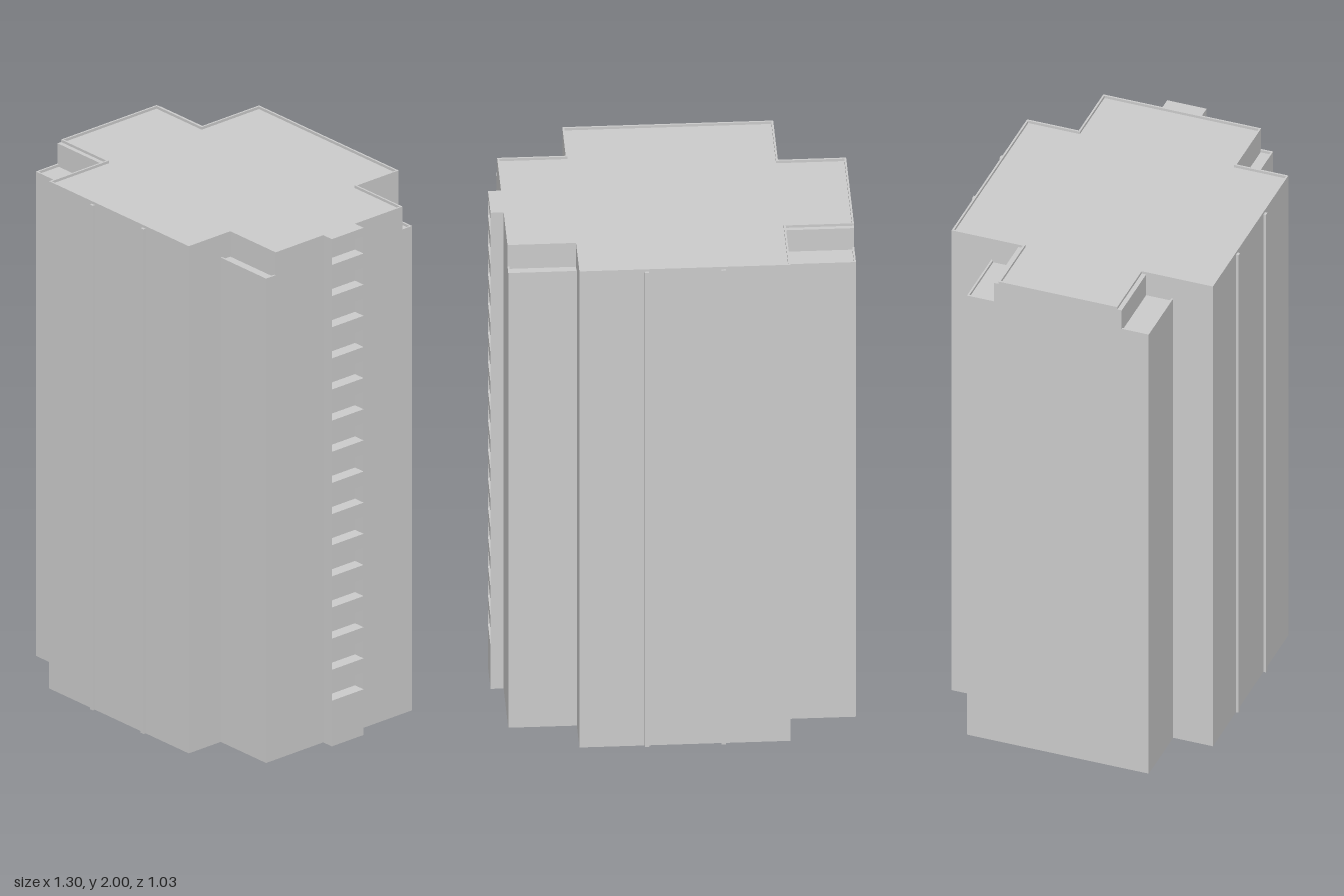
import * as THREE from 'three';

const FINS = [-0.163, 0.113];                 // x centres of the facade fins
const LEDGE = 1.91, TOP = 2, RIM = 0.01, LIP = 0.007;
const XL = -0.65, CL = -0.404, CR = 0.356, XR = 0.603; // wing and core ends
const CORE = 0.503, WING = 0.35;              // half depths

// Cross-shaped plan, counter-clockwise from above; d insets it, fins adds the facade fins
function plan(zl, zr, d = 0, fins = false) {
  const xl = XL + d, cl = CL + d, cr = CR - d, xr = XR - d, c = CORE - d;
  zl -= d;
  zr -= d;
  const fin = (x, s) => [[x - s * 0.008, c], [x - s * 0.008, c + 0.01], [x + s * 0.008, c + 0.01], [x + s * 0.008, c]];
  const front = fins ? FINS.flatMap((x) => fin(x, 1)).map(([x, y]) => [x, -y]) : [];
  const back = fins ? [...FINS].reverse().flatMap((x) => fin(x, -1)) : [];
  return [
    [xl, -zl], [cl, -zl], [cl, -c], ...front, [cr, -c], [cr, -zr], [xr, -zr],
    [xr, zr], [cr, zr], [cr, c], ...back, [cl, c], [cl, zl], [xl, zl],
  ].map(([x, y]) => new THREE.Vector2(x, y));
}

// Open vertical walls along a closed plan
function wallGeometry(points, y0, y1) {
  const pos = [];
  points.forEach((a, i) => {
    const b = points[(i + 1) % points.length];
    const a0 = [a.x, y0, -a.y], b0 = [b.x, y0, -b.y];
    const a1 = [a.x, y1, -a.y], b1 = [b.x, y1, -b.y];
    pos.push(...a0, ...b0, ...b1, ...a0, ...b1, ...a1);
  });
  const g = new THREE.BufferGeometry();
  g.setAttribute('position', new THREE.Float32BufferAttribute(pos, 3));
  g.computeVertexNormals();
  return g;
}

// Flat surface filling a plan
function slabGeometry(points, y) {
  return new THREE.ShapeGeometry(new THREE.Shape(points)).rotateX(-Math.PI / 2).translate(0, y, 0);
}

// Thin raised lip around a plan
function rimGeometry(outer, inner, y) {
  const shape = new THREE.Shape(outer);
  shape.holes.push(new THREE.Path(inner));
  return new THREE.ExtrudeGeometry(shape, { depth: RIM, bevelEnabled: false })
    .rotateX(-Math.PI / 2).translate(0, y, 0);
}

export function createModel() {
  const model = new THREE.Group();
  const material = new THREE.MeshStandardMaterial({ color: 0xcccccc, side: THREE.DoubleSide, flatShading: true });
  const add = (name, geometry, parent = model) => {
    const mesh = new THREE.Mesh(geometry, material);
    mesh.name = name;
    parent.add(mesh);
    return mesh;
  };

  // Tower shell, open underneath, with narrower wings above the ledges
  const upperL = 0.246, upperR = 0.304;
  const upper = plan(upperL, upperR, 0, true);
  add('lowerWalls', wallGeometry(plan(WING, WING, 0, true), 0, LEDGE - RIM));
  add('upperWalls', wallGeometry(upper, LEDGE - RIM, TOP - RIM));
  add('roof', slabGeometry(upper, TOP - RIM));

  // Lips around roof and ledges
  add('roofParapet', rimGeometry(plan(0.229, upperR), plan(0.229, upperR, LIP), TOP - RIM));
  add('ledgeRim', rimGeometry(plan(WING, WING), plan(WING, WING, LIP), LEDGE - RIM));

  // Ledge floors at the four wing corners
  for (const s of [1, -1]) {
    for (const [x0, x1, z] of [[XL, CL, upperL], [CR, XR, upperR]]) {
      const floor = new THREE.PlaneGeometry(x1 - x0, WING - z).rotateX(-Math.PI / 2);
      add('ledgeFloor', floor.translate((x0 + x1) / 2, LEDGE - RIM, s * (WING + z) / 2));
    }
  }

  // Stair bay: two thin side walls with stacked balcony slabs between
  const bay = new THREE.Group();
  bay.name = 'stairBay';
  model.add(bay);
  const depth = 0.65 - XR, bayX = XR + depth / 2, half = 0.076;
  for (const s of [1, -1]) {
    add('baySideWall', new THREE.PlaneGeometry(depth, TOP).translate(bayX, TOP / 2, s * half), bay);
  }
  const slab = (name, y0, y1) => add(name,
    new THREE.BoxGeometry(depth, y1 - y0, 2 * half).translate(bayX, (y0 + y1) / 2, 0), bay);
  slab('bayBase', 0, 0.18);
  for (let i = 0; i < 15; i++) {
    const y = 0.248 + i * 0.1228;
    slab('baySlab', y, Math.min(y + 0.054, TOP));
  }
  return model;
}
